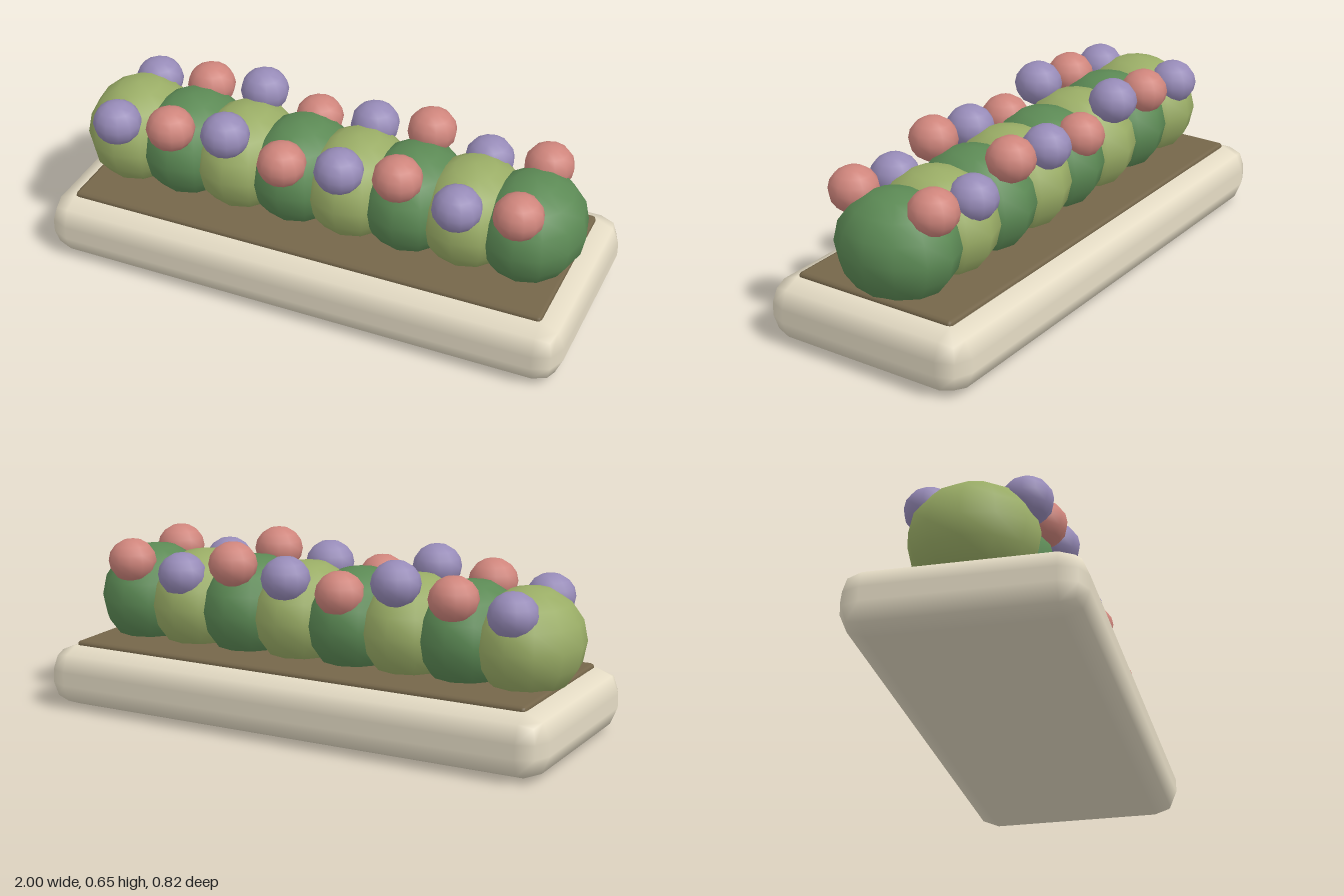
import * as THREE from 'three';
import { RoundedBoxGeometry } from 'three/addons/geometries/RoundedBoxGeometry.js';

const paint = (color) => new THREE.MeshStandardMaterial({ color });

export function createModel() {
  const group = new THREE.Group();
  const add = (name, geometry, material, x, y, z) => {
    const mesh = new THREE.Mesh(geometry, material);
    mesh.name = name;
    mesh.position.set(x, y, z);
    group.add(mesh);
    return mesh;
  };

  // Planter tray with a thin bed of soil set into its top
  add('tray', new RoundedBoxGeometry(2, 0.23, 0.82, 1, 0.09), paint(0xe5dcc5), 0, 0.115, 0);
  add('soil', new RoundedBoxGeometry(1.82, 0.05, 0.645, 1, 0.015), paint(0x75664a), 0, 0.22, 0);

  // Row of overlapping leafy mounds, each with a blossom on either side
  const mound = new THREE.SphereGeometry(1, 12, 8).scale(0.195, 0.198, 0.228);
  const blossom = new THREE.SphereGeometry(1, 12, 8).scale(0.09, 0.083, 0.09);
  const leaves = [paint(0x9aad66), paint(0x5c8a55)];
  const petals = [paint(0x978bb8), paint(0xcf857c)];

  for (let i = 0; i < 8; i++) {
    const x = -0.787 + i * 0.2214;
    const y = 0.506 + (i % 3) * 0.031;
    add('leafMound', mound, leaves[i % 2], x, 0.38, 0);
    add('frontBlossom', blossom, petals[i % 2], x, y, 0.18);
    add('backBlossom', blossom, petals[i % 2], x, y, -0.152);
  }
  return group;
}
